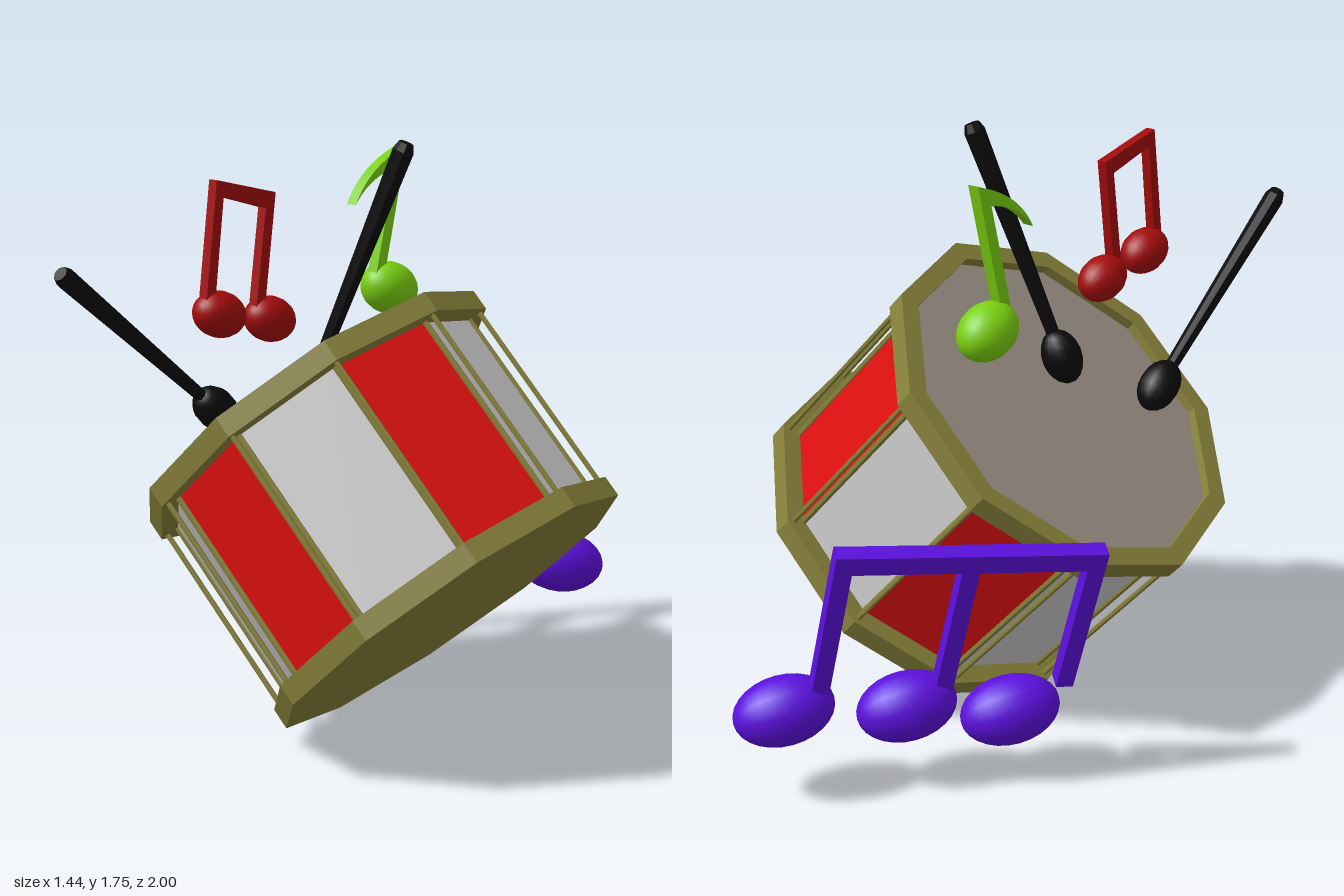
import * as THREE from 'three';

const mat = (color, flatShading = false, side = THREE.FrontSide) =>
  new THREE.MeshStandardMaterial({ color, flatShading, side });
const V = (x, y, z) => new THREE.Vector3(x, y, z);

function add(parent, name, geometry, material) {
  const mesh = new THREE.Mesh(geometry, material);
  mesh.name = name;
  parent.add(mesh);
  return mesh;
}

// Ellipsoid stretched along a given axis
function ellipsoid(parent, name, center, axis, long, short, material, segs = 20) {
  const mesh = add(parent, name, new THREE.SphereGeometry(1, segs, Math.round(segs * 0.7)), material);
  mesh.scale.set(short, long, short);
  mesh.quaternion.setFromUnitVectors(V(0, 1, 0), axis.clone().normalize());
  mesh.position.copy(center);
}

// Square bar from a to b, with its width lying in the plane that holds "inPlane"
function bar(parent, name, a, b, inPlane, width, depth, material) {
  const y = b.clone().sub(a);
  const mesh = add(parent, name, new THREE.BoxGeometry(width, y.length(), depth), material);
  y.normalize();
  const z = inPlane.clone().cross(y).normalize();
  const basis = new THREE.Matrix4().makeBasis(y.clone().cross(z), y, z);
  mesh.quaternion.setFromRotationMatrix(basis);
  mesh.position.copy(a).lerp(b, 0.5);
}

function createDrum() {
  const SIDES = 10, R = 0.59, BODY = 0.53, H = 0.74, RIM = 0.065;
  const gold = mat(0x85803a, true);
  const red = mat(0xdd0f0f, true), white = mat(0xcccccc, true);
  const drum = new THREE.Group();
  drum.name = 'drum';

  // Solid bottom rim
  add(drum, 'bottomRim', new THREE.CylinderGeometry(R, R, RIM, SIDES), gold).position.y = RIM / 2;

  // Hollow top rim
  const ring = [[BODY, H - RIM], [R, H - RIM], [R, H], [BODY, H], [BODY, H - RIM]]
    .map(([x, y]) => new THREE.Vector2(x, y));
  add(drum, 'topRim', new THREE.LatheGeometry(ring, SIDES), gold);

  // Recessed drum skin
  add(drum, 'drumSkin', new THREE.CylinderGeometry(BODY + 0.01, BODY + 0.01, 0.02, SIDES),
    mat(0x988c82, true)).position.y = H - 0.04;

  // Alternating panels, corner trims and tension rods
  const step = (Math.PI * 2) / SIDES;
  for (let i = 0; i < SIDES; i++) {
    add(drum, 'sidePanel', new THREE.CylinderGeometry(BODY, BODY, H - RIM, 1, 1, true, i * step, step),
      i % 2 ? red : white).position.y = H / 2;
    const s = Math.sin(i * step), c = Math.cos(i * step);
    [['cornerTrim', BODY, 0.01], ['tensionRod', 0.567, 0.008]].forEach(([name, r, thick]) => {
      add(drum, name, new THREE.CylinderGeometry(thick, thick, H - RIM, 6), gold)
        .position.set(s * r, H / 2, c * r);
    });
  }

  // Tilt the drum on its lower edge
  const n = V(-0.665, 0.742, 0.085).normalize();
  const u = V(0.742, 0.665, 0).normalize();
  drum.quaternion.setFromRotationMatrix(new THREE.Matrix4().makeBasis(n.clone().cross(u), n, u));
  drum.position.set(0.27, 0.41, 0.088);
  return drum;
}

function createStick(head, end) {
  const stick = new THREE.Group();
  stick.name = 'drumstick';
  const black = mat(0x0a0a0a);
  const dir = end.clone().sub(head), len = dir.length();
  // Slim neck widening to a bevelled butt
  const profile = [[0, 0], [0.018, 0], [0.031, len - 0.025], [0.022, len], [0, len]]
    .map(([x, y]) => new THREE.Vector2(x, y));
  const shaft = add(stick, 'stickShaft', new THREE.LatheGeometry(profile, 8), mat(0x0a0a0a, true));
  shaft.quaternion.setFromUnitVectors(V(0, 1, 0), dir.clone().normalize());
  shaft.position.copy(head);
  ellipsoid(stick, 'stickHead', head, dir, 0.084, 0.06, black, 14);
  return stick;
}

// Flat outline drawn as (z, y), extruded along x
function sideExtrude(parent, name, shape, x, depth, material) {
  const geo = new THREE.ExtrudeGeometry(shape, { depth, bevelEnabled: false, curveSegments: 10 });
  geo.rotateY(-Math.PI / 2).translate(x + depth / 2, 0, 0);
  add(parent, name, geo, material);
}

function createSingleNote() {
  const note = new THREE.Group();
  note.name = 'singleNote';
  const green = mat(0x7ad010);
  ellipsoid(note, 'noteHead', V(-0.23, 1.27, -0.21), V(0, 0.36, 0.93), 0.1, 0.08, green);
  // Stem and curled flag in one outline
  const s = new THREE.Shape();
  s.moveTo(-0.125, 1.3);
  s.lineTo(-0.215, 1.635);
  s.quadraticCurveTo(-0.1, 1.615, -0.04, 1.54);
  s.quadraticCurveTo(-0.1, 1.65, -0.27, 1.7);
  s.lineTo(-0.165, 1.3);
  sideExtrude(note, 'noteStem', s, -0.23, 0.036, green);
  return note;
}

function createPairNote() {
  const note = new THREE.Group();
  note.name = 'pairNote';
  const red = mat(0xa30c0c);
  [[1.305, 0.59], [1.265, 0.39]].forEach(([y, z]) =>
    ellipsoid(note, 'noteHead', V(-0.155, y, z), V(0, 0.3, 0.95), 0.085, 0.066, red));
  // Two stems joined by a slanted beam
  const s = new THREE.Shape([[0.66, 1.3], [0.605, 1.68], [0.375, 1.625], [0.43, 1.26],
    [0.465, 1.26], [0.415, 1.585], [0.58, 1.632], [0.625, 1.3]]
    .map(([z, y]) => new THREE.Vector2(z, y)));
  sideExtrude(note, 'stemsAndBeam', s, -0.155, 0.03, red);
  return note;
}

function createTripleNote() {
  const note = new THREE.Group();
  note.name = 'tripleNote';
  const purple = mat(0x5c0fdd);
  const a = V(-0.685, 0.742, -0.275), b = V(-0.295, 0.81, -0.86);
  const along = b.clone().sub(a).normalize();
  const down = V(0.155, -0.45, 0.05);
  const overlap = along.clone().multiplyScalar(0.025);
  bar(note, 'beam', a.clone().sub(overlap), b.clone().add(overlap), down, 0.06, 0.05, purple);
  // Stems with their heads
  const heads = [V(-0.45, 0.225, -0.36), V(-0.265, 0.262, -0.59), V(-0.065, 0.29, -0.875)];
  heads.forEach((head, i) => {
    const top = a.clone().lerp(b, i / 2);
    bar(note, 'stem', top, top.clone().add(down), along, 0.05, 0.05, purple);
    ellipsoid(note, 'noteHead', head, V(0.57, -0.18, -0.8), 0.145, 0.1, purple);
  });
  return note;
}

export function createModel() {
  const model = new THREE.Group();
  model.name = 'drumWithNotes';
  model.add(
    createDrum(),
    createStick(V(-0.37, 0.975, 0.4), V(-0.36, 1.445, 0.985)),
    createStick(V(-0.16, 1.07, 0.2), V(0.088, 1.755, 0.078)),
    createSingleNote(),
    createPairNote(),
    createTripleNote()
  );
  return model;
}
